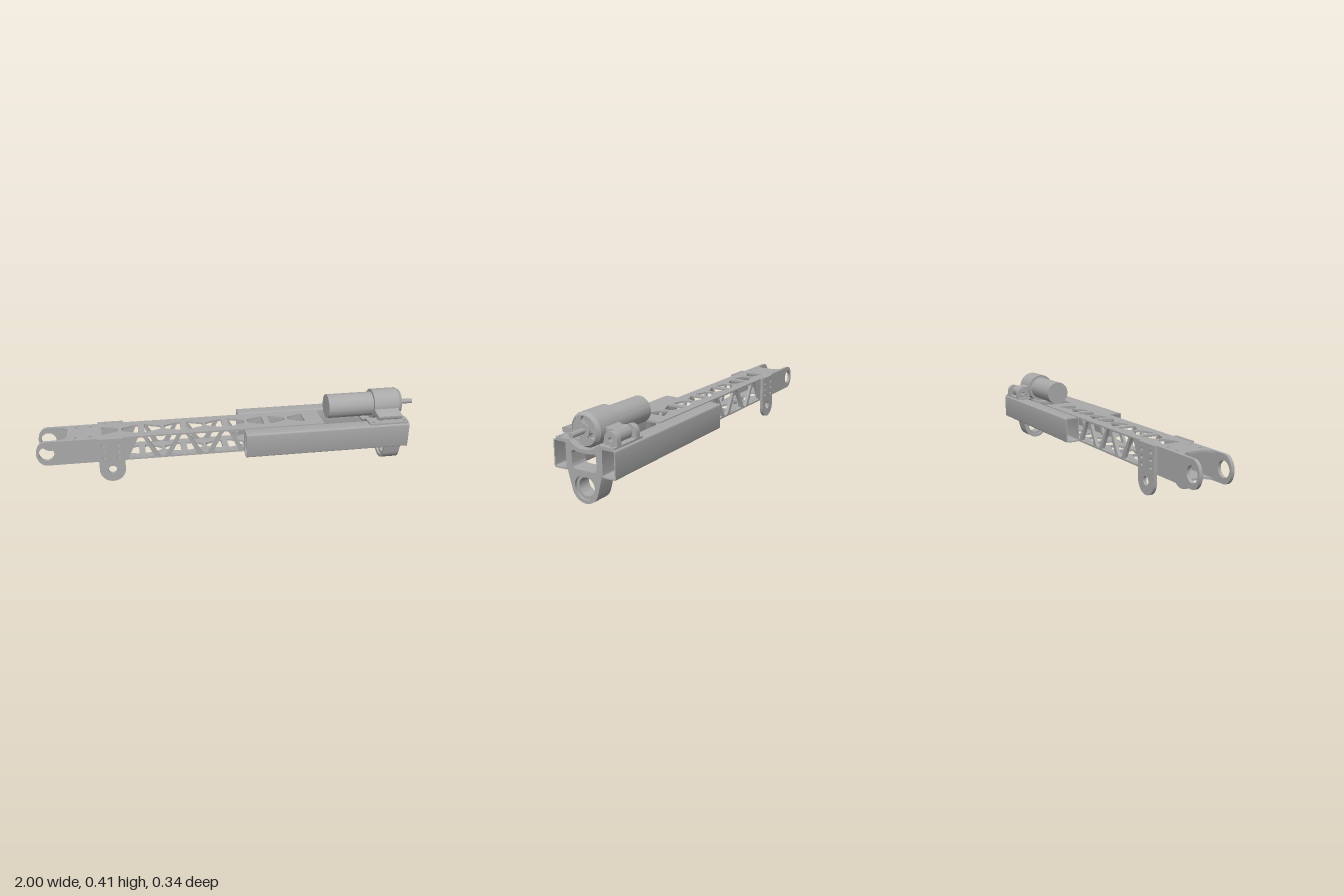
import * as THREE from 'three';
import { toCreasedNormals } from 'three/addons/utils/BufferGeometryUtils.js';

const metal = new THREE.MeshStandardMaterial({ color: 0xa9a9a9 });
metal.name = 'grey metal';

// Closed outline through points, with corners rounded by r
function poly(points, r = 0) {
  const pts = points.map(([x, y]) => new THREE.Vector2(x, y));
  const shape = new THREE.Shape();
  pts.forEach((p, i) => {
    const toward = (q) => {
      const d = q.clone().sub(p);
      return d.setLength(Math.min(r, d.length() * 0.48)).add(p);
    };
    const a = toward(pts[(i + pts.length - 1) % pts.length]);
    const b = toward(pts[(i + 1) % pts.length]);
    if (i) shape.lineTo(a.x, a.y); else shape.moveTo(a.x, a.y);
    if (r) shape.quadraticCurveTo(p.x, p.y, b.x, b.y);
  });
  shape.closePath();
  return shape;
}
const rect = (x0, y0, x1, y1, r) => poly([[x0, y0], [x1, y0], [x1, y1], [x0, y1]], r);
const circle = (x, y, r) => new THREE.Shape().absarc(x, y, r, 0, Math.PI * 2, false);

function extrude(shape, holes, depth) {
  shape.holes.push(...holes);
  return new THREE.ExtrudeGeometry(shape, { depth, bevelEnabled: false, curveSegments: 20 });
}
// Outline in (x, y), thickness along z
const sidePlate = (s, holes, z0, z1) => extrude(s, holes, z1 - z0).translate(0, 0, z0);
// Outline in (x, z), thickness along y
const flatPlate = (s, holes, y0, y1) => extrude(s, holes, y1 - y0).rotateX(Math.PI / 2).translate(0, y1, 0);
// Outline in (-z, y), thickness along x
const section = (s, holes, x0, x1) => extrude(s, holes, x1 - x0).rotateY(Math.PI / 2).translate(x0, 0, 0);

export function createModel() {
  const model = new THREE.Group();
  const add = (name, geometry) => {
    const mesh = new THREE.Mesh(toCreasedNormals(geometry, 0.5), metal);
    mesh.name = name;
    model.add(mesh);
  };
  const LOW = 0.137, TOP = 0.268, MID = 0.2025;

  // Inner arm: side walls with truss cutouts and rounded fork ends
  for (const [name, z0, z1] of [['armLeftWall', 0.074, 0.09], ['armRightWall', -0.09, -0.074]]) {
    const wall = new THREE.Shape();
    wall.moveTo(-0.948, LOW);
    wall.lineTo(0.49, LOW);
    wall.lineTo(0.49, TOP);
    wall.lineTo(-0.948, TOP);
    wall.absellipse(-0.948, MID, 0.052, TOP - MID, Math.PI / 2, Math.PI * 1.5, false, 0);
    const holes = [circle(-0.948, MID, 0.038)];
    for (let k = 0; k < 5; k++) {
      const x = -0.475 + 0.22 * k;
      holes.push(poly([[x - 0.068, 0.146], [x + 0.068, 0.146], [x + 0.012, 0.26], [x - 0.012, 0.26]], 0.012));
      if (k < 4) {
        const c = x + 0.11;
        holes.push(poly([[c - 0.014, 0.146], [c + 0.014, 0.146], [c + 0.08, 0.26], [c - 0.08, 0.26]], 0.012));
      }
    }
    add(name, sidePlate(wall, holes, z0, z1));
  }

  // Inner arm: top and bottom panels
  for (const [name, y0, y1] of [['armTopPanel', TOP - 0.01, TOP], ['armBottomPanel', LOW, LOW + 0.01]]) {
    const panel = new THREE.Shape();
    panel.moveTo(0.49, -0.074);
    panel.lineTo(0.49, 0.074);
    panel.lineTo(-0.89, 0.074);
    panel.quadraticCurveTo(-0.845, 0.07, -0.845, 0.03);
    panel.lineTo(-0.845, -0.03);
    panel.quadraticCurveTo(-0.845, -0.07, -0.89, -0.074);
    panel.closePath();
    const holes = [];
    for (const x of [-0.8, -0.727]) for (const z of [-0.06, 0.06]) holes.push(circle(x, z, 0.008));
    for (let k = 0; k < 5; k++) {
      const a = -0.672 + 0.22 * k, b = a + 0.188;
      holes.push(poly([[a, -0.05], [a + 0.085, -0.02], [a + 0.085, 0.02], [a, 0.05]], 0.016));
      holes.push(poly([[b, -0.05], [b, 0.05], [b - 0.085, 0.02], [b - 0.085, -0.02]], 0.016));
    }
    add(name, flatPlate(panel, holes, y0, y1));
  }

  // Hanging pivot brackets
  for (const [name, z0] of [['leftPivotBracket', 0.09], ['rightPivotBracket', -0.107]]) {
    const s = new THREE.Shape();
    s.moveTo(-0.56, 0.095);
    s.lineTo(-0.56, TOP + 0.002);
    s.lineTo(-0.692, TOP + 0.002);
    s.lineTo(-0.692, 0.095);
    s.absarc(-0.626, 0.095, 0.066, Math.PI, Math.PI * 2, false);
    const holes = [circle(-0.626, 0.095, 0.022)];
    for (const x of [-0.664, -0.588]) for (const y of [0.165, 0.2, 0.235]) holes.push(circle(x, y, 0.009));
    add(name, sidePlate(s, holes, z0, z0 + 0.017));
  }

  // Outer rectangular tubes
  for (const [name, u] of [['leftOuterTube', -0.168], ['rightOuterTube', 0.093]]) {
    const hole = rect(u + 0.006, LOW + 0.006, u + 0.069, TOP - 0.006, 0.008);
    add(name, section(rect(u, LOW, u + 0.075, TOP, 0.01), [hole], 0.06, 0.932));
  }

  // End block joining the tubes, with window and bearing bore
  const block = new THREE.Shape();
  block.moveTo(-0.093, LOW);
  block.lineTo(-0.093, TOP);
  block.lineTo(-0.083, TOP);
  block.lineTo(-0.055, 0.243);
  block.quadraticCurveTo(0, 0.225, 0.055, 0.243);
  block.lineTo(0.083, TOP);
  block.lineTo(0.093, TOP);
  block.lineTo(0.093, LOW);
  block.absarc(0, 0.073, 0.073, -0.25, -Math.PI + 0.25, true);
  block.closePath();
  const windowHole = poly([[-0.067, 0.15], [0.067, 0.15], [0.067, 0.238], [0.03, 0.229], [-0.03, 0.229], [-0.067, 0.238]], 0.024);
  add('endBlock', section(block, [windowHole, circle(0, 0.073, 0.057)], 0.843, 0.932));
  add('bearingRing', section(circle(0, 0.073, 0.0575), [circle(0, 0.073, 0.043)], 0.855, 0.92));

  // Motor saddle and its screwed feet
  const saddle = poly([[-0.081, 0.276], [-0.052, 0.256], [-0.025, 0.246], [0.025, 0.246], [0.052, 0.256], [0.081, 0.276],
    [0.085, TOP], [0.055, 0.243], [0.025, 0.234], [-0.025, 0.234], [-0.055, 0.243], [-0.085, TOP]]);
  add('motorSaddle', section(saddle, [], 0.72, 0.932));
  for (const s of [1, -1]) {
    const foot = rect(0.72, s > 0 ? 0.08 : -0.16, 0.932, s > 0 ? 0.16 : -0.08, 0.015);
    const holes = [[0.743, 0.14], [0.785, 0.122], [0.87, 0.122], [0.911, 0.14]].map(([x, z]) => circle(x, s * z, 0.009));
    add(s > 0 ? 'leftFoot' : 'rightFoot', flatPlate(foot, holes, TOP, 0.277));
  }

  // Hinge lugs on the right foot and the clamp arm between them
  const pivotU = 0.125, pivotY = 0.303;
  for (const x of [0.745, 0.877]) {
    const lug = new THREE.Shape();
    lug.moveTo(0.085, 0.272);
    lug.lineTo(0.16, 0.272);
    lug.lineTo(0.16, pivotY - 0.01);
    lug.absarc(pivotU, pivotY, 0.034, 0, Math.PI, false);
    lug.closePath();
    add('hingeLug', section(lug, [circle(pivotU, pivotY, 0.01)], x, x + 0.028));
  }
  const arm = new THREE.Shape();
  arm.moveTo(0.05, 0.283);
  arm.lineTo(0.07, 0.274);
  arm.lineTo(0.12, 0.28);
  arm.absarc(0.11, pivotY, 0.034, -0.7, Math.PI / 2, false);
  arm.quadraticCurveTo(0.085, 0.33, 0.068, 0.345);
  arm.lineTo(0.05, 0.345);
  arm.closePath();
  add('clampHingeArm', section(arm, [circle(pivotU, pivotY, 0.01)], 0.78, 0.87));
  add('clampTab', section(poly([[-0.149, 0.312], [-0.092, 0.319], [-0.06, 0.335], [-0.06, 0.285], [-0.088, 0.294], [-0.144, 0.288]], 0.006), [], 0.765, 0.895));

  // Motor body and gearbox along x
  const AX = 0.326, AZ = 0.004;
  const turned = (profile) => new THREE.LatheGeometry(profile.map(([r, x]) => new THREE.Vector2(r, x)), 48)
    .rotateZ(-Math.PI / 2).translate(0, AX, AZ);
  add('motorBody', turned([[0, 0.52], [0.064, 0.52], [0.064, 0.775], [0, 0.775]]));
  add('gearbox', turned([[0, 0.765], [0.079, 0.765], [0.079, 0.902], [0.068, 0.92], [0.0645, 0.92], [0.0645, 0.9], [0, 0.9]]));

  // Gearbox face with three screw holes, boss and D-shaped shaft
  const screwHoles = [[-0.006, 0.374], [-0.042, 0.296], [0.041, 0.307]];
  add('gearboxFace', section(circle(-AZ, AX, 0.065), screwHoles.map(([u, y]) => circle(u, y, 0.015)), 0.899, 0.917));
  for (const [u, y] of screwHoles) add('faceScrew', section(circle(u, y, 0.008), [], 0.899, 0.908));
  add('shaftBoss', section(circle(-AZ, AX, 0.034), [], 0.91, 0.925));
  const shaft = new THREE.Shape().absarc(-AZ, AX, 0.013, Math.PI * 0.7, Math.PI * 2.3, false);
  shaft.closePath();
  add('outputShaft', section(shaft, [], 0.92, 1));

  return model;
}
